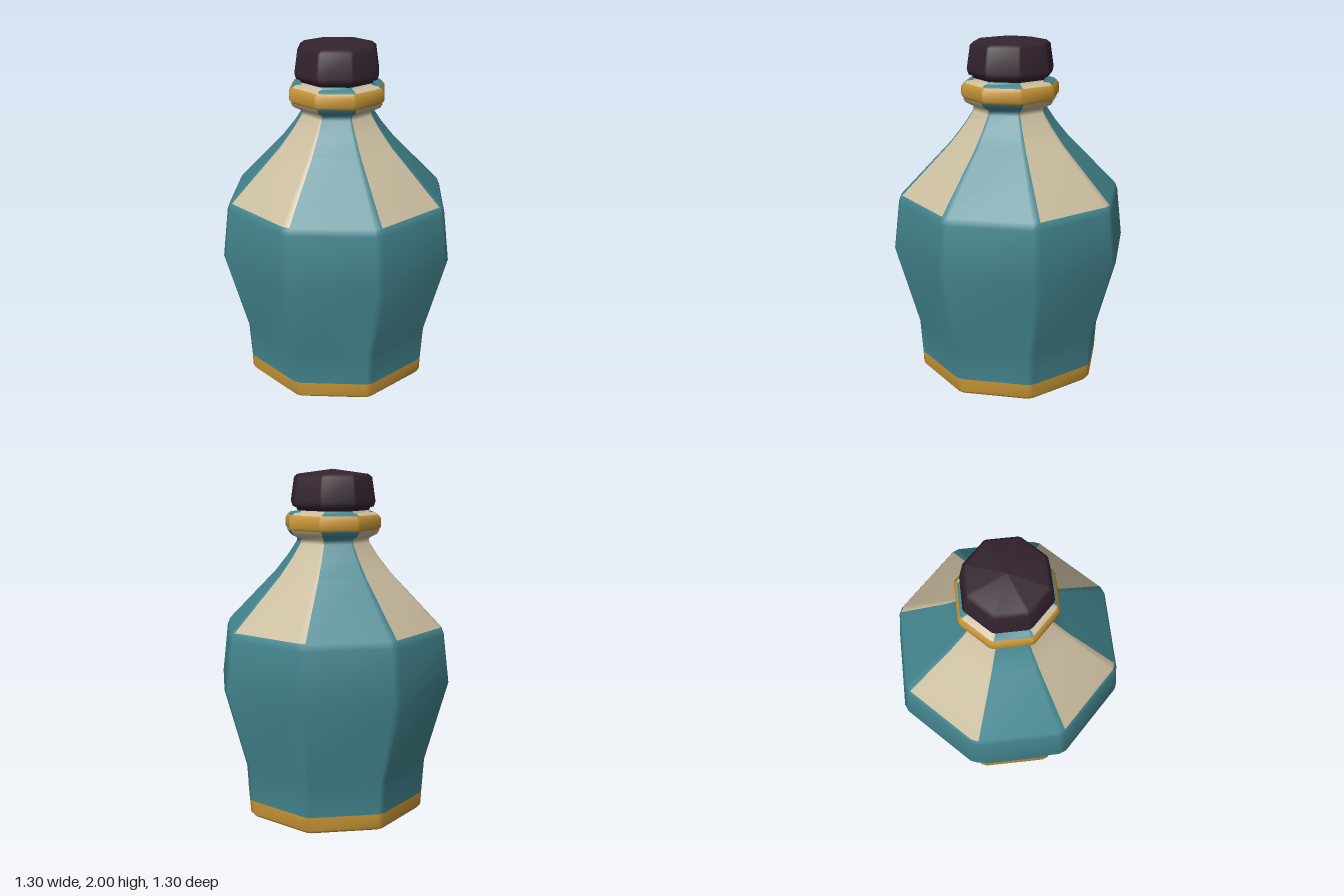
import * as THREE from 'three';

const TEAL = 0, CREAM = 1;

// Octagon with narrow chamfered corners: flats are even columns, chamfers odd
const ANGLES = [];
for (let k = 0; k < 8; k++) {
  for (const d of [-20.6, 20.6]) ANGLES.push(THREE.MathUtils.degToRad(k * 45 + d));
}
const N = ANGLES.length;
const FLAT = Math.cos(THREE.MathUtils.degToRad(20.6));

// Loft a profile of [half width, height]; a half width of 0 closes the end.
// slot(row, column) chooses the material of each face.
function loft(profile, slot = () => 0) {
  const pos = [], faces = [[], []];
  for (const [a, y] of profile) {
    for (const t of ANGLES) pos.push(a / FLAT * Math.sin(t), y, a / FLAT * Math.cos(t));
  }
  for (let i = 0; i < profile.length - 1; i++) {
    for (let j = 0; j < N; j++) {
      const k = (j + 1) % N;
      const a = i * N + j, b = i * N + k, c = a + N, d = b + N;
      const list = faces[slot(i, j)];
      if (profile[i][0] > 0) list.push(a, b, d);
      if (profile[i + 1][0] > 0) list.push(a, d, c);
    }
  }
  const g = new THREE.BufferGeometry();
  g.setAttribute('position', new THREE.Float32BufferAttribute(pos, 3));
  g.setIndex(faces.flat());
  g.addGroup(0, faces[0].length, 0);
  g.addGroup(faces[0].length, faces[1].length, 1);
  g.computeVertexNormals();
  return g;
}

export function createModel() {
  const material = (name, color) => {
    const m = new THREE.MeshStandardMaterial({ color });
    m.name = name;
    return m;
  };
  const teal = material('teal glaze', 0x43858e);
  const cream = material('cream panel', 0xcabd9f);
  const gold = material('gold trim', 0xc89636);
  const dark = material('dark stopper', 0x33232f);

  const group = new THREE.Group();
  group.name = 'bottle';
  const add = (name, geometry, mats) => {
    const mesh = new THREE.Mesh(geometry, mats);
    mesh.name = name;
    group.add(mesh);
  };

  // Gold foot with a closed underside
  add('baseTrim', loft([[0, 0], [0.493, 0], [0.51, 0.02], [0.513, 0.1]]), [gold, gold]);

  // Body, shoulder and lower neck; alternate shoulder panels are cream
  const creamColumns = new Set([0, 1, 4, 8, 9, 12, 13]);
  const panel = (i, j) => (creamColumns.has(j) ? CREAM : TEAL);
  const body = [
    [0.513, 0.1], [0.525, 0.3], [0.648, 0.78], [0.615, 1.07], [0.6, 1.11],
    [0.325, 1.41], [0.25, 1.51], [0.203, 1.585], [0.2, 1.61], [0.245, 1.635], [0.258, 1.66],
  ];
  add('body', loft(body, (i, j) => (i >= 4 ? panel(i, j) : TEAL)), [teal, cream]);

  // Gold collar ring
  add('collarRing', loft([[0.25, 1.655], [0.265, 1.675], [0.265, 1.725], [0.25, 1.745]]), [gold, gold]);

  // Neck above the collar
  add('neck', loft([[0.25, 1.745], [0.235, 1.757], [0.2, 1.76], [0.198, 1.79]], panel), [teal, cream]);

  // Stopper with a slightly pointed top
  add('stopper', loft([
    [0, 1.77], [0.2, 1.77], [0.205, 1.785], [0.225, 1.79], [0.234, 1.82],
    [0.215, 1.955], [0.195, 1.972], [0, 2],
  ]), [dark, dark]);

  return group;
}
